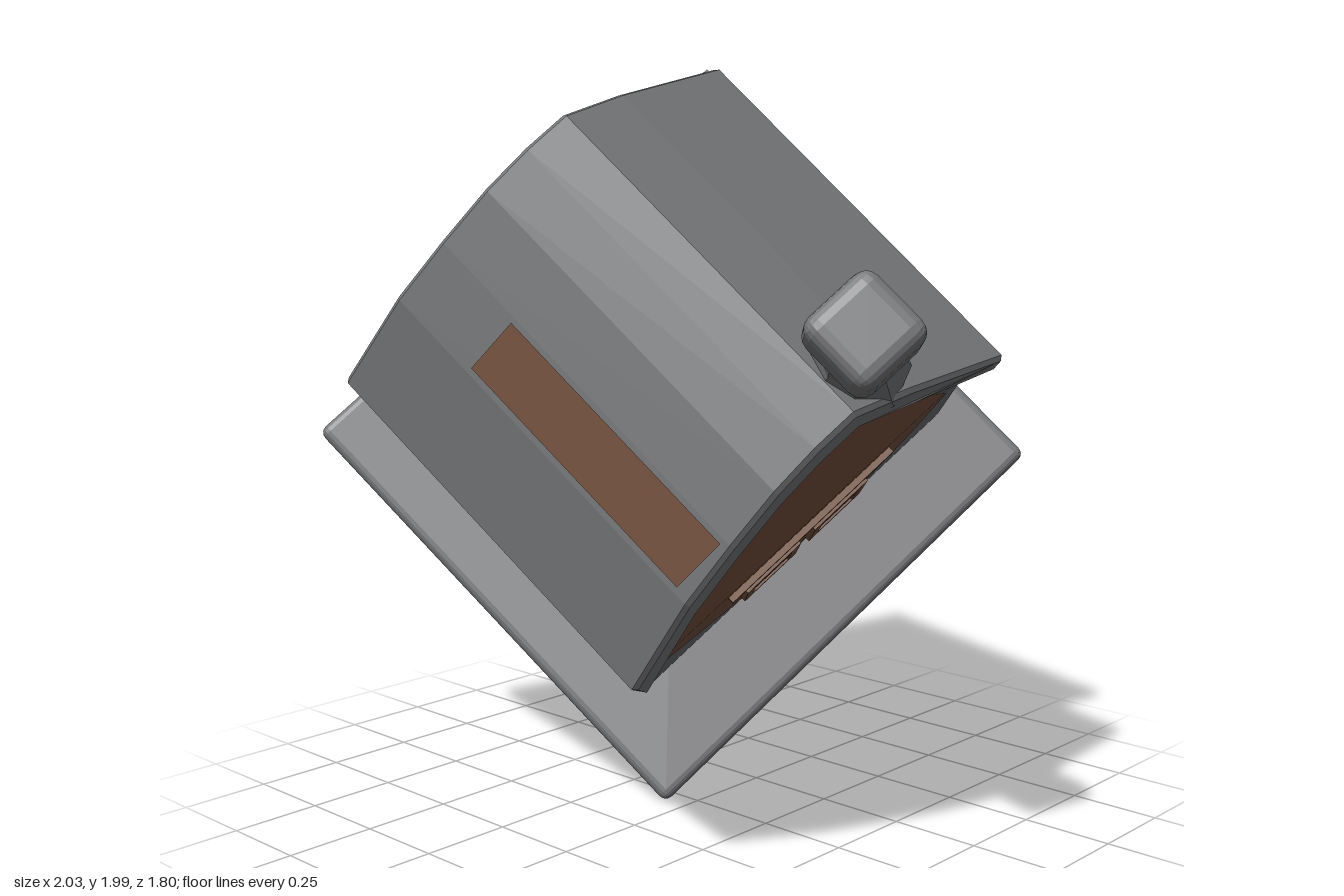
import * as THREE from 'three';
import { RoundedBoxGeometry } from 'three/addons/geometries/RoundedBoxGeometry.js';

const mat = (color) => new THREE.MeshStandardMaterial({ color, flatShading: true, side: THREE.DoubleSide });
const stone = mat(0x77787a), wallGrey = mat(0x6e6f73), rust = mat(0x76523e);

function add(parent, name, geometry, material, x = 0, y = 0, z = 0) {
  const mesh = new THREE.Mesh(geometry, material);
  mesh.name = name;
  mesh.position.set(x, y, z);
  parent.add(mesh);
  return mesh;
}

const shapeOf = (pts) => new THREE.Shape(pts.map(([x, y]) => new THREE.Vector2(x, y)));

// extrudes a cross-section along the ridge, from z = back to z = front
function prism(pts, back, front) {
  const g = new THREE.ExtrudeGeometry(shapeOf(pts), {
    depth: front - back - 0.02, bevelEnabled: true, bevelSize: 0.01, bevelThickness: 0.01, bevelOffset: -0.01, bevelSegments: 1,
  });
  return g.translate(0, 0, back + 0.01);
}

// leans both gables towards the back as they rise, the front one more
function lean(g) {
  const p = g.attributes.position;
  for (let i = 0; i < p.count; i++) {
    const rise = Math.max(0, p.getY(i) - 0.74);
    p.setZ(i, p.getZ(i) - rise * (p.getZ(i) > 0 ? 0.28 : 0.08));
  }
  g.computeVertexNormals();
  return g;
}

export function createModel() {
  const model = new THREE.Group();
  model.name = 'tiltedHouse';

  // house built upright: x across, y up, z along the ridge
  const house = new THREE.Group();
  house.name = 'house';
  model.add(house);

  // square ground slab, turned very slightly against the walls
  const slab = add(house, 'groundSlab', new RoundedBoxGeometry(1.43, 0.08, 1.44, 2, 0.025), stone, -0.015, 0.005, 0.02);
  slab.rotateOnAxis(new THREE.Vector3(0.647, 0.325, -0.69).normalize(), 0.025);

  // lopsided rounded gable outline, from one eave over the ridge to the other
  const arch = [[-0.58, 0.81], [-0.36, 0.99], [-0.2, 1.07], [-0.05, 1.13], [0.08, 1.155], [0.2, 1.155], [0.36, 1.02], [0.66, 0.71]];
  const inner = arch.map(([x, y]) => [x * 0.97, y - 0.075]);

  // walls, with gables rising under the roof
  add(house, 'walls', prism([[-0.57, 0], [-0.55, 0.77], [0.58, 0.72], [0.61, 0]], -0.51, 0.48), wallGrey);
  const gable = [[-0.54, 0.74], ...inner.slice(1, -1).map(([x, y]) => [x, y + 0.02]), [0.58, 0.7]];
  add(house, 'gables', lean(prism(gable, -0.515, 0.48)), wallGrey);

  // roof shell with overhanging eaves and verges
  add(house, 'roof', lean(prism([...arch, ...inner.reverse()], -0.53, 0.52)), stone);

  // chimney on one slope
  const chimney = new THREE.Group();
  chimney.name = 'chimney';
  chimney.position.set(0.3, 0, 0.3);
  house.add(chimney);
  add(chimney, 'chimneyFoot', new THREE.CylinderGeometry(0.09, 0.14, 0.14, 8), stone, 0, 1.1, 0);
  add(chimney, 'chimneyNeck', new THREE.CylinderGeometry(0.095, 0.09, 0.12, 8), stone, 0, 1.21, 0);
  add(chimney, 'chimneyHead', new RoundedBoxGeometry(0.21, 0.15, 0.21, 2, 0.04), stone, 0, 1.32, 0);

  // rust-coloured gable panels
  const nearPanel = [[-0.5, 0.62], [-0.3, 0.3], [-0.2, 0.15], [0.25, 0.15], [0.42, 0.42], [0.5, 0.68], [0.48, 0.74], [-0.5, 0.74]];
  const peakPanel = [[-0.5, 0.74], [0.48, 0.74], [0.35, 0.94], [0.2, 1.06], [-0.05, 1.04], [-0.34, 0.9]];
  const farPanel = [[0.45, 0.1], [0.3, 0.1], [-0.15, 0.35], [-0.5, 0.6], [-0.5, 0.74], [-0.2, 0.74], [0, 0.45]];
  add(house, 'nearGablePanel', new THREE.ShapeGeometry(shapeOf(nearPanel)), rust, 0, 0, 0.484);
  add(house, 'peakPanel', lean(new THREE.ShapeGeometry(shapeOf(peakPanel)).translate(0, 0, 0.484)), rust);
  add(house, 'farGablePanel', new THREE.ShapeGeometry(shapeOf(farPanel)), rust, 0, 0, -0.514);

  // windows: thin frames with a cross bar
  function addWindow(x, y, z, turn) {
    const win = new THREE.Group();
    win.name = 'window';
    win.position.set(x, y, z);
    win.rotation.y = turn;
    house.add(win);
    for (const s of [-1, 1]) {
      add(win, 'windowPost', new THREE.BoxGeometry(0.03, 0.24, 0.03), rust, s * 0.08, 0, 0);
      add(win, 'windowRail', new THREE.BoxGeometry(0.19, 0.03, 0.03), rust, 0, s * 0.11, 0);
    }
    add(win, 'windowBar', new THREE.BoxGeometry(0.16, 0.025, 0.025), rust, 0, 0, 0);
  }
  for (const x of [-0.1, 0.14]) addWindow(x, 0.36, 0.485, 0);
  add(house, 'gableBeam', new THREE.BoxGeometry(0.55, 0.03, 0.03), rust, 0.02, 0.68, 0.485);

  // tie beam joining the eaves across the far gable
  add(house, 'tieBeam', new THREE.BoxGeometry(1.2, 0.06, 0.05), stone, 0.03, 0.74, -0.51).rotation.z = -0.06;

  // rust-coloured band and window on the side wall
  const sidePanel = shapeOf([[-0.42, 0.3], [-0.1, 0.28], [0.42, 0.38], [0.46, 0.66], [-0.3, 0.7], [-0.46, 0.68]]);
  add(house, 'sidePanel', new THREE.ShapeGeometry(sidePanel), rust, -0.574, 0, 0).rotation.y = -Math.PI / 2;
  addWindow(-0.565, 0.48, 0.12, -Math.PI / 2);

  // rust streak lying on the front slope
  const streak = new THREE.PlaneGeometry(0.15, 0.7).rotateX(-Math.PI / 2);
  add(house, 'roofStreak', streak, rust, -0.28, 1.037, 0.05).rotation.z = 0.464;

  // triangular mark beneath the slab
  const mark = shapeOf([[0.22, -0.4], [0.09, 0.43], [-0.47, -0.23]]);
  add(slab, 'slabMark', new THREE.ShapeGeometry(mark).rotateX(Math.PI / 2), rust, 0, -0.043, 0);

  // tip the house over so that it balances on one slab corner
  const across = new THREE.Vector3(0.381, 0.647, -0.662).normalize();
  const up = new THREE.Vector3(0.646, 0.325, 0.69);
  up.addScaledVector(across, -up.dot(across)).normalize();
  const along = new THREE.Vector3().crossVectors(across, up);
  house.quaternion.setFromRotationMatrix(new THREE.Matrix4().makeBasis(across, up, along));
  house.position.set(-0.285, 0.97, -0.2);
  return model;
}
